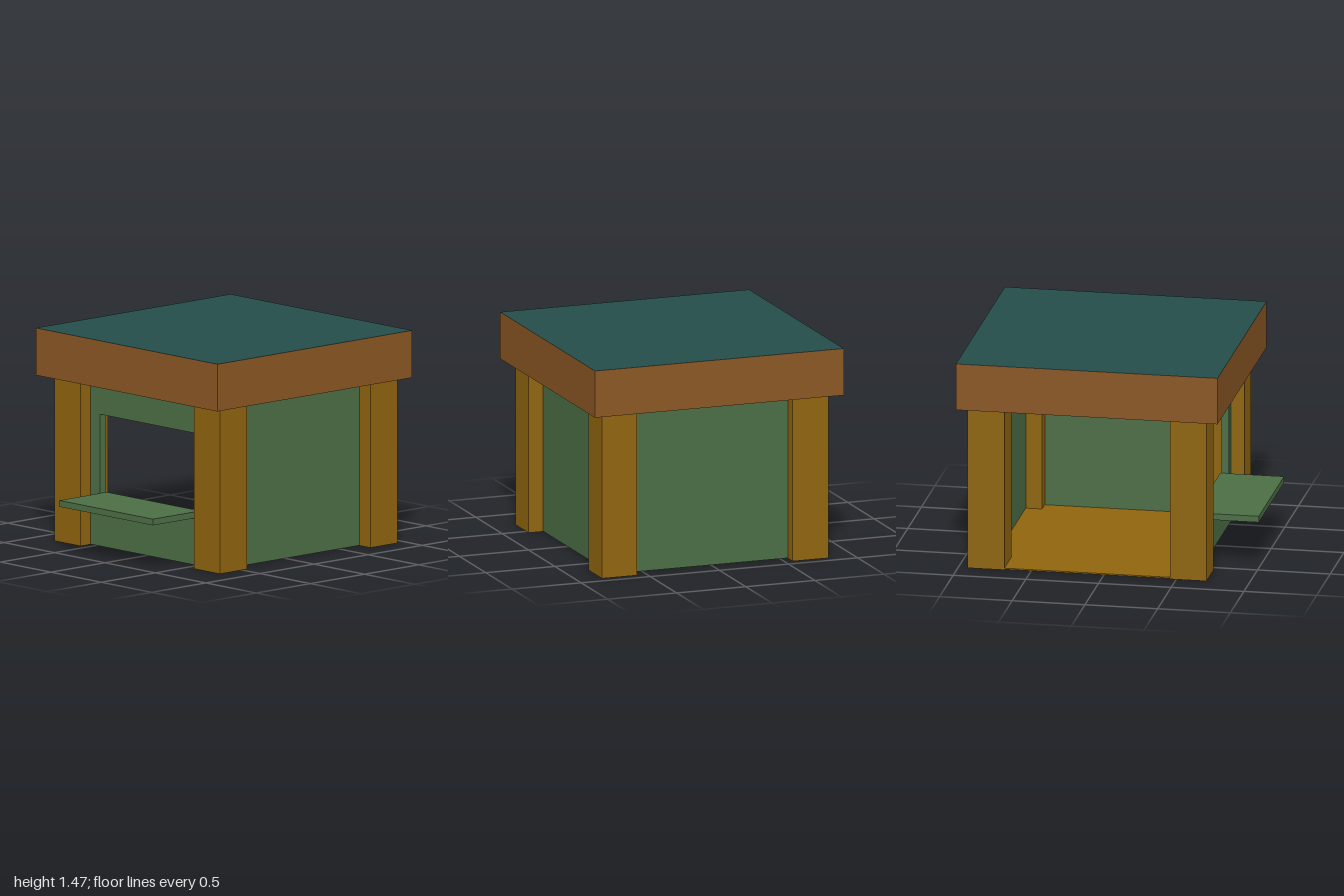
import * as THREE from 'three';

export function createModel() {
  const group = new THREE.Group();
  const mat = (name, color) => {
    const m = new THREE.MeshStandardMaterial({ color });
    m.name = name;
    return m;
  };
  const ochre = mat('ochre wood', 0x8f650e);
  const green = mat('green paint', 0x4c6e45);
  const brown = mat('brown fascia', 0x8b5724);
  const teal = mat('teal roofing', 0x244d4a);

  // Box given by its extents along each axis
  const box = (name, material, [x0, x1], [y0, y1], [z0, z1]) => {
    const mesh = new THREE.Mesh(new THREE.BoxGeometry(x1 - x0, y1 - y0, z1 - z0), material);
    mesh.position.set((x0 + x1) / 2, (y0 + y1) / 2, (z0 + z1) / 2);
    mesh.name = name;
    group.add(mesh);
    return mesh;
  };

  const eaves = 1.14;

  // Flat roof: brown sides, teal top and underside
  box('roof', [brown, brown, teal, teal, brown, brown], [-0.9, 0.9], [eaves, 1.465], [-1, 0.8]);

  // Four corner posts
  for (const [side, xs] of [['Right', [-0.815, -0.555]], ['Left', [0.57, 0.825]]]) {
    for (const [end, zs] of [['front', [0.457, 0.708]], ['back', [-0.935, -0.683]]]) {
      box(`${end}${side}Post`, ochre, xs, [0, eaves], zs);
    }
  }

  // Floor, reaching the outside of the posts on the open side
  box('floor', ochre, [-0.813, 0.718], [0.003, 0.012], [-0.843, 0.615]);

  // Solid walls; the -x side stays open
  box('sideWall', green, [0.67, 0.72], [0.002, eaves], [-0.8, 0.57]);
  box('backWall', green, [-0.7, 0.72], [0.002, eaves], [-0.845, -0.795]);

  // Front wall with the serving window
  const wall = new THREE.Shape([
    [-0.7, 0.002], [0.72, 0.002], [0.72, eaves], [-0.7, eaves],
  ].map(([x, y]) => new THREE.Vector2(x, y)));
  wall.holes.push(new THREE.Path([
    [-0.459, 0.357], [-0.459, 0.909], [0.483, 0.909], [0.483, 0.357],
  ].map(([x, y]) => new THREE.Vector2(x, y))));
  const frontWall = new THREE.Mesh(
    new THREE.ExtrudeGeometry(wall, { depth: 0.05, bevelEnabled: false }), green);
  frontWall.position.z = 0.568;
  frontWall.name = 'frontWall';
  group.add(frontWall);

  // Counter shelf through the window
  box('counter', green, [-0.455, 0.475], [0.323, 0.366], [0.56, 1]);

  return group;
}
